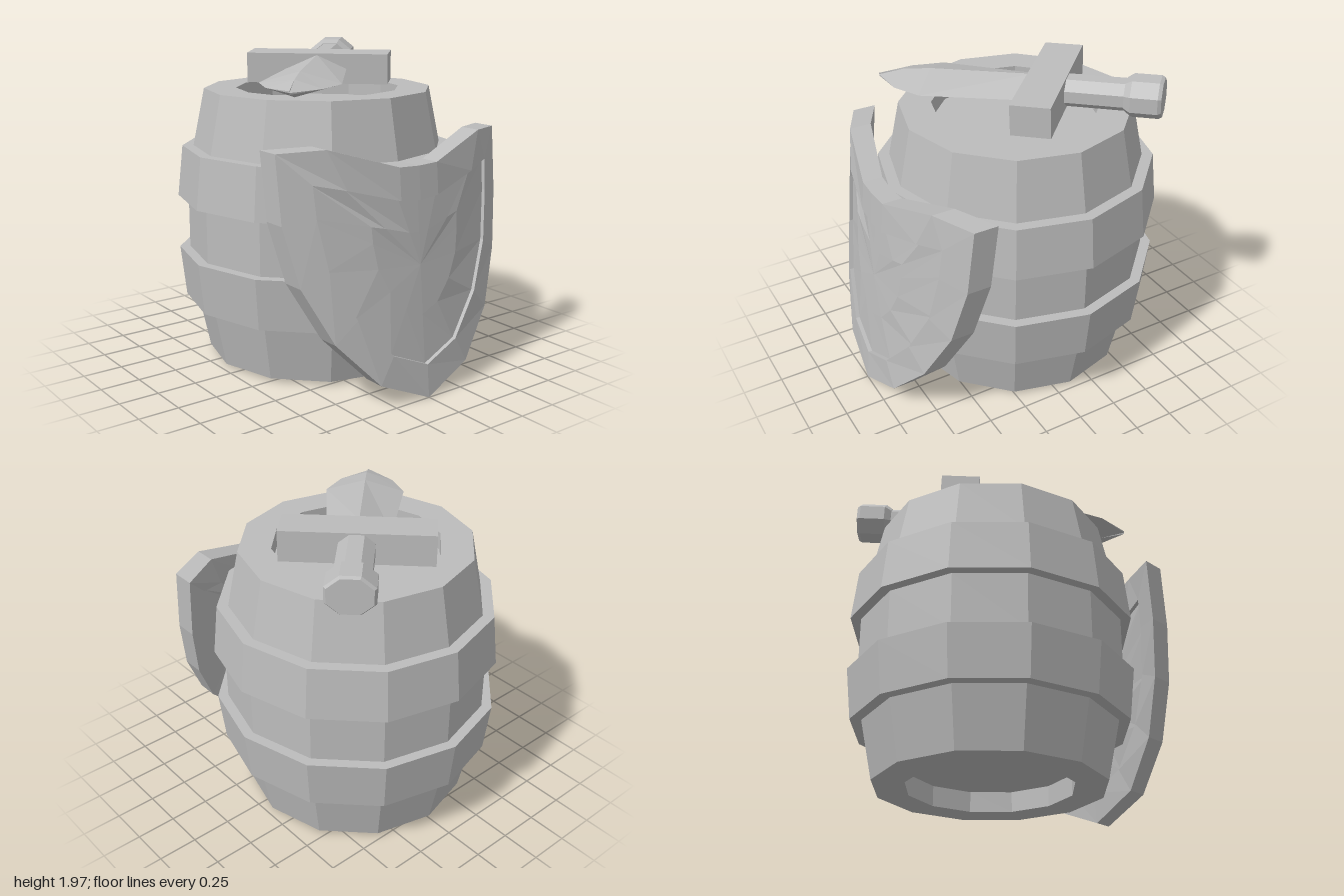
import * as THREE from 'three';

const grey = new THREE.MeshStandardMaterial({ color: 0xbcbcbc });
grey.name = 'grey';

// Mesh with one normal per face
function part(name, geo) {
  const g = geo.index ? geo.toNonIndexed() : geo;
  g.computeVertexNormals();
  const mesh = new THREE.Mesh(g, grey);
  mesh.name = name;
  return mesh;
}

const lathe = (profile, sides) =>
  new THREE.LatheGeometry(profile.map(([r, y]) => new THREE.Vector2(r, y)), sides);

// Skin between successive closed loops of equal length
function loft(loops) {
  const pos = [];
  for (let k = 0; k < loops.length - 1; k++) {
    const a = loops[k], b = loops[k + 1], n = a.length;
    for (let i = 0; i < n; i++) {
      const j = (i + 1) % n;
      pos.push(...a[i], ...b[i], ...b[j], ...a[i], ...b[j], ...a[j]);
    }
  }
  const geo = new THREE.BufferGeometry();
  geo.setAttribute('position', new THREE.Float32BufferAttribute(pos, 3));
  return geo;
}

function buildBarrel() {
  const barrel = new THREE.Group();
  barrel.name = 'barrel';
  barrel.position.z = -0.105;
  // Staves with recessed lids at both ends
  barrel.add(part('staves', lathe([
    [0, 0.16], [0.515, 0.16], [0.515, 0.03], [0.715, 0.03], [0.79, 0.39], [0.83, 0.71],
    [0.83, 1.05], [0.79, 1.37], [0.715, 1.73], [0.515, 1.73], [0.515, 1.62], [0, 1.62],
  ], 12)));
  // Two hoops, mirrored about the middle
  const hoop = [[0.79, 0.39], [0.86, 0.39], [0.895, 0.71], [0.83, 0.71]];
  barrel.add(part('lowerHoop', lathe(hoop, 12)));
  barrel.add(part('upperHoop', lathe(hoop.map(([r, y]) => [r, 1.76 - y]).reverse(), 12)));
  return barrel;
}

function buildShield() {
  const mirror = half => [...half, ...half.slice(1, -1).reverse().map(([x, y]) => [-x, y])];
  const outer = mirror([[0, 1.375], [0.14, 1.38], [0.57, 1.51], [0.82, 1.495], [0.81, 1.1],
    [0.74, 0.75], [0.58, 0.42], [0.33, 0.15], [0, 0.01]]);
  const inner = mirror([[0, 1.18], [0.14, 1.19], [0.47, 1.28], [0.65, 1.32], [0.64, 1.13],
    [0.59, 0.83], [0.45, 0.55], [0.24, 0.31], [0, 0.21]]);
  const shrink = s => inner.map(([x, y]) => [x * s, 0.8 + (y - 0.8) * s]);

  // Curved, leaning front and back surfaces
  const frontZ = (x, y) => 1 - 0.095 * y - 0.36 * Math.abs(x) ** 2.3;
  const front = (pts, d = 0) => pts.map(([x, y]) => [x, y, frontZ(x, y) - d]);
  const back = (pts, d = 0) =>
    pts.map(([x, y]) => [x, y, frontZ(x, y) - 0.12 - 0.035 * Math.abs(x) + d]);

  return part('shield', loft([
    back(shrink(0), 0.03), back(shrink(0.5), 0.03), back(inner, 0.03), back(inner), back(outer),
    front(outer), front(inner), front(inner, 0.025), front(shrink(0.5), 0.025), front(shrink(0), 0.025),
  ]));
}

// Sword lying across the lid; local +x runs towards the pommel
function buildSword() {
  const sword = new THREE.Group();
  sword.name = 'sword';
  sword.position.set(0.125, 1.84, -0.255);
  sword.rotation.set(0, Math.PI / 4, 0.04);

  sword.add(part('guard', new THREE.BoxGeometry(0.24, 0.19, 0.905)));

  // Diamond-section blade: [x, half width, half height]
  const sections = [[-0.1, 0, 0], [-0.1, 0.19, 0.085], [-0.735, 0.245, 0.07],
    [-0.92, 0.166, 0.05], [-1.08, 0, 0.01]];
  sword.add(part('blade', loft(sections.map(([x, w, h]) =>
    [[x, h, 0], [x, 0, w], [x, -h, 0], [x, 0, -w]]))));

  // Eight-sided grip and pommel
  const turned = (name, profile) => sword.add(part(name,
    lathe(profile, 8).rotateY(Math.PI / 8).rotateZ(-Math.PI / 2).scale(1, 0.93, 1.15)));
  turned('grip', [[0, 0.1], [0.1, 0.1], [0.1, 0.49], [0, 0.49]]);
  turned('pommel', [[0, 0.47], [0.105, 0.47], [0.132, 0.51], [0.132, 0.67], [0.12, 0.69], [0, 0.69]]);
  return sword;
}

export function createModel() {
  const model = new THREE.Group();
  model.name = 'barrelWithShieldAndSword';
  model.add(buildBarrel(), buildShield(), buildSword());
  return model;
}
